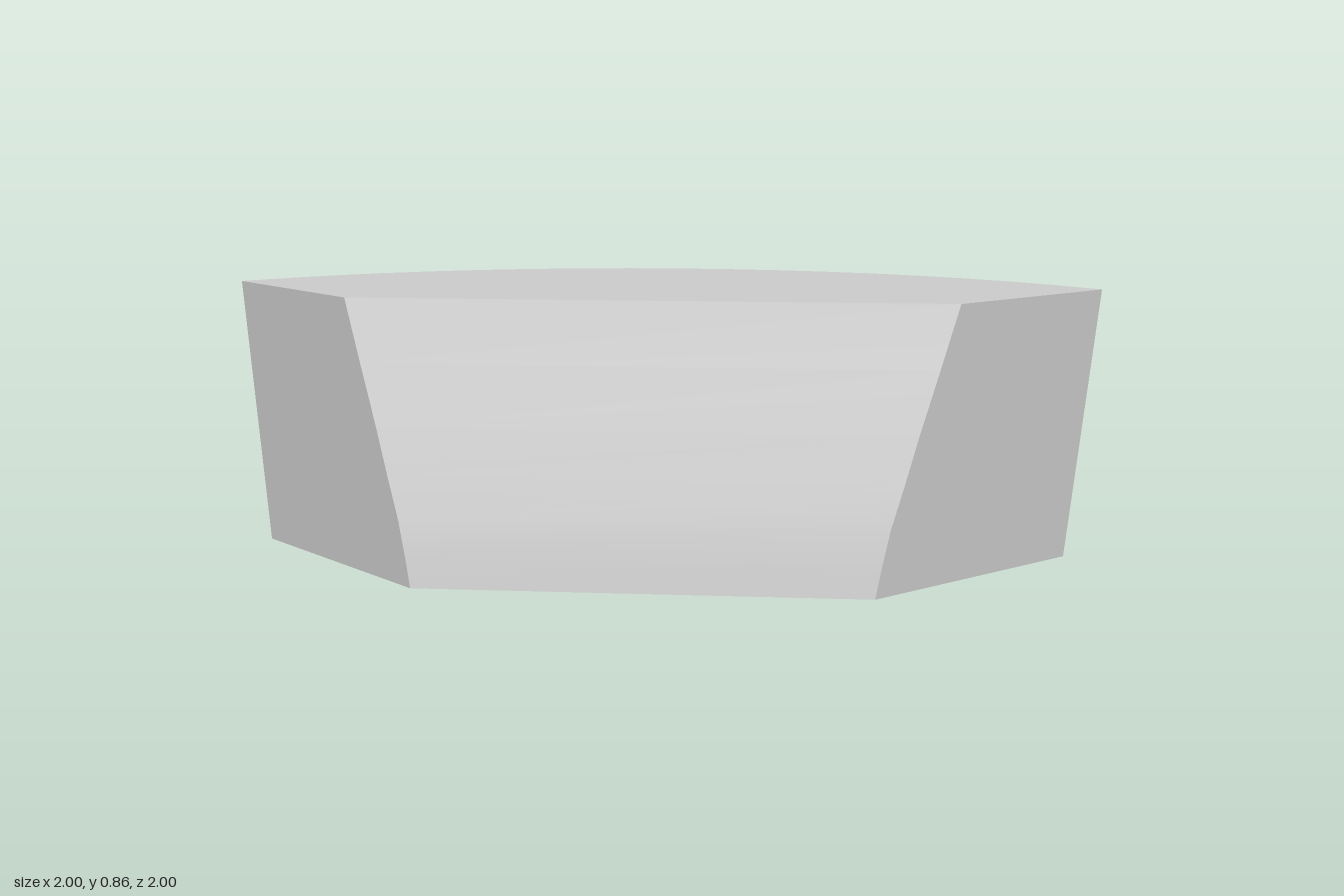
import * as THREE from 'three';
import { toCreasedNormals } from 'three/addons/utils/BufferGeometryUtils.js';

const HEIGHT = 0.855;
const ARC_STEPS = 18;
// [height, distance from the quarter-circle centre to each end of the chord face]
const LEVELS = [[0, 0.99], [0.09, 1.015], [0.2, 1.05], [0.33, 1.107], [0.47, 1.165], [0.66, 1.25], [HEIGHT, 1.335]];

// One horizontal outline: chord end, quarter arc, other chord end
function outline(y, chord) {
  const radius = 1.85 + 0.15 * (y / HEIGHT);
  const ring = [[-1 + chord, y, 1]];
  for (let i = 0; i <= ARC_STEPS; i++) {
    const t = (i / ARC_STEPS) * Math.PI / 2;
    ring.push([-1 + radius * Math.cos(t), y, 1 - radius * Math.sin(t)]);
  }
  ring.push([-1, y, 1 - chord]);
  return ring;
}

export function createModel() {
  const rings = LEVELS.map(([y, chord]) => outline(y, chord));
  const n = rings[0].length;
  const index = [];

  // Walls between neighbouring outlines
  for (let j = 0; j < rings.length - 1; j++) {
    for (let i = 0; i < n; i++) {
      const k = (i + 1) % n;
      const a = j * n + i, b = j * n + k, c = b + n, d = a + n;
      index.push(a, b, c, a, c, d);
    }
  }
  // Flat bottom and top
  const top = (rings.length - 1) * n;
  for (let i = 1; i < n - 1; i++) {
    index.push(0, i + 1, i, top, top + i, top + i + 1);
  }

  const geometry = new THREE.BufferGeometry();
  geometry.setAttribute('position', new THREE.Float32BufferAttribute(rings.flat(2), 3));
  geometry.setIndex(index);

  const block = new THREE.Mesh(
    toCreasedNormals(geometry, Math.PI / 7),
    new THREE.MeshStandardMaterial({ color: 0xcccccc })
  );
  block.name = 'curvedCornerBlock';

  const group = new THREE.Group();
  group.name = 'cornerSegment';
  group.add(block);
  return group;
}
